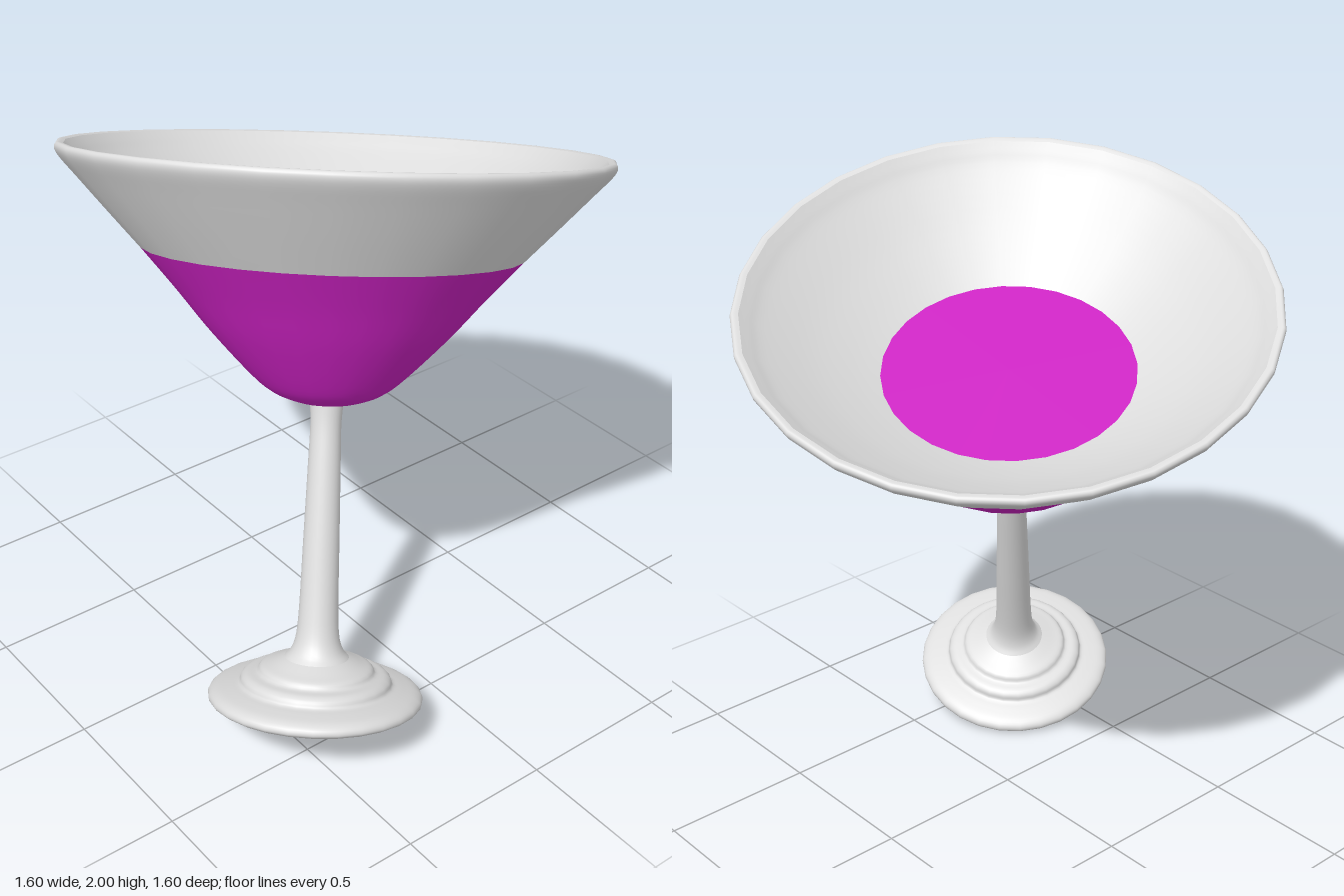
import * as THREE from 'three';

const SIDES = 28;

export function createModel() {
  const model = new THREE.Group();
  model.name = 'cocktailGlass';

  const glass = new THREE.MeshStandardMaterial({ color: 0xdedede });
  glass.name = 'pale glass';
  const liquid = new THREE.MeshStandardMaterial({ color: 0xcc22c2 });
  liquid.name = 'magenta drink';

  // The upright glass is built in its own group, then tilted
  const upright = new THREE.Group();
  upright.name = 'tiltedGlass';
  model.add(upright);

  // Revolve a profile of [radius, height] pairs, optionally smoothed to a curve
  function turned(name, material, profile, smoothSteps = 0) {
    let points = profile.map(([r, h]) => new THREE.Vector2(r, h));
    if (smoothSteps) points = new THREE.SplineCurve(points).getPoints(smoothSteps);
    const mesh = new THREE.Mesh(new THREE.LatheGeometry(points, SIDES), material);
    mesh.name = name;
    upright.add(mesh);
  }

  // Foot: flat underside and a stepped, rounded top
  turned('footUnderside', glass, [[0, 0], [0.315, 0]]);
  turned('foot', glass, [
    [0.315, 0], [0.332, 0.012], [0.331, 0.03], [0.31, 0.045], [0.27, 0.055], [0.24, 0.062],
    [0.232, 0.08], [0.215, 0.092], [0.185, 0.098], [0.172, 0.115], [0.14, 0.128], [0.1, 0.145],
  ], 40);

  // Slender stem flaring into the foot
  turned('stem', glass, [
    [0.1, 0.145], [0.08, 0.17], [0.066, 0.22], [0.06, 0.32], [0.056, 0.5],
    [0.05, 0.75], [0.047, 0.88], [0.052, 0.955],
  ], 28);

  // Bowl: plain collar, drink seen through the wall, clear upper wall
  turned('bowlCollar', glass, [[0.045, 0.95], [0.1, 0.955]]);
  turned('drinkWall', liquid, [
    [0.1, 0.955], [0.165, 0.98], [0.23, 1.03], [0.36, 1.165], [0.47, 1.295], [0.572, 1.41],
  ], 24);
  turned('bowlOuterWall', glass, [
    [0.572, 1.41], [0.67, 1.515], [0.76, 1.613], [0.812, 1.67], [0.826, 1.697],
    [0.818, 1.711], [0.8, 1.708],
  ], 24);
  turned('bowlInnerWall', glass, [
    [0.8, 1.708], [0.775, 1.685], [0.73, 1.645], [0.6, 1.55], [0.48, 1.475], [0.39, 1.425],
  ], 20);

  // Surface of the drink
  turned('drinkSurface', liquid, [[0.397, 1.431], [0, 1.431]]);

  // Tilt towards the left and back, standing on the foot's edge
  const axis = new THREE.Vector3(0.248, 0.934, -0.257).normalize();
  upright.quaternion.setFromUnitVectors(new THREE.Vector3(0, 1, 0), axis);
  upright.position.set(-0.422, 0.117, 0.437);

  return model;
}
